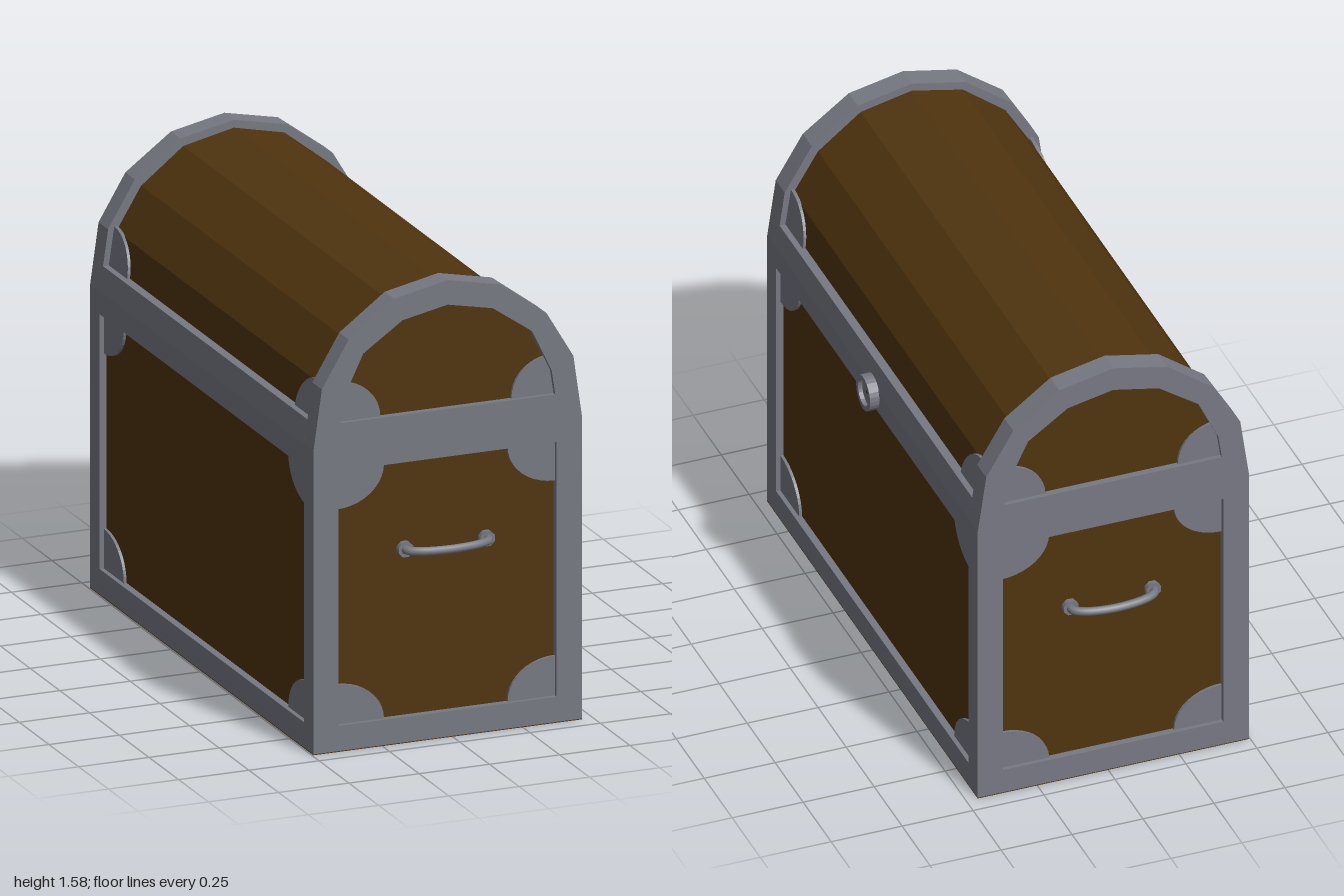
import * as THREE from 'three';

const metal = new THREE.MeshStandardMaterial({ color: 0x777983 });
metal.name = 'grey metal';
const wood = new THREE.MeshStandardMaterial({ color: 0x50340e });
wood.name = 'brown wood';
const dark = new THREE.MeshStandardMaterial({ color: 0x26262b });
dark.name = 'keyhole dark';

const HW = 0.4775, HL = 0.94, RAIL = 0.08, RECESS = 0.025, SEAM = 1.05;

// Half profiles of the arched lid, from the side up to the crown
const OUTER = [[HW, SEAM], [0.4475, 1.26], [0.352, 1.42], [0.19, 1.54], [0, 1.58]];
const BARREL = [[0.4475, SEAM], [0.418, 1.25], [0.33, 1.395], [0.18, 1.513], [0, 1.553]];
const OPENING = [[0.383, 1.135], [0.37, 1.22], [0.3, 1.365], [0.16, 1.462], [0, 1.495]];

const toPoints = (list) => list.map(([x, y]) => new THREE.Vector2(x, y));
const mirrored = (half) =>
  toPoints([...half, ...half.slice(0, -1).reverse().map(([x, y]) => [-x, y])]);
const rect = (w, y0, y1) => toPoints([[w, y0], [w, y1], [-w, y1], [-w, y0]]);

function add(parent, name, geometry, material) {
  const mesh = new THREE.Mesh(geometry, material);
  mesh.name = name;
  parent.add(mesh);
  return mesh;
}

// Outline extruded along z between z0 and z1
function slab(points, z0, z1, hole) {
  const shape = new THREE.Shape(points);
  if (hole) shape.holes.push(new THREE.Path(hole));
  const g = new THREE.ExtrudeGeometry(shape, { depth: z1 - z0, bevelEnabled: false });
  return g.translate(0, 0, z0);
}

// Quarter-round corner plate spreading from (x, y) in directions sx, sy
function cornerPlate(x, y, sx, sy, a, b, z) {
  const pts = [new THREE.Vector2(x, y)];
  for (let i = 0; i <= 10; i++) {
    const t = (i / 10) * Math.PI / 2;
    pts.push(new THREE.Vector2(x + sx * a * Math.cos(t), y + sy * b * Math.sin(t)));
  }
  return slab(pts, z - 0.002, z + 0.01);
}

function addBodyCorners(parent, halfWidth, z) {
  for (const s of [-1, 1]) {
    add(parent, 'lowerCorner', cornerPlate(s * halfWidth, 0.09, -s, 1, 0.168, 0.137, z), metal);
    add(parent, 'upperCorner', cornerPlate(s * halfWidth, 0.97, -s, -1, 0.168, 0.137, z), metal);
  }
}

// End of the chest: frames, corner plates and carrying handle
function makeEnd() {
  const end = new THREE.Group();
  end.name = 'chestEnd';
  add(end, 'bodyEndFrame', slab(rect(HW, 0.003, SEAM), HL - RAIL, HL, rect(0.388, 0.09, 0.97)), metal);
  add(end, 'lidEndFrame', slab(mirrored(OUTER), HL - RAIL, HL, mirrored(OPENING)), metal);
  const z = HL - RECESS;
  addBodyCorners(end, 0.388, z);
  for (const s of [-1, 1]) {
    add(end, 'lidCorner', cornerPlate(s * 0.383, 1.135, -s, 1, 0.15, 0.135, z), metal);
    const mount = add(end, 'handleMount', new THREE.CylinderGeometry(0.028, 0.028, 0.02, 8), metal);
    mount.rotation.set(Math.PI / 2, Math.PI / 8, 0);
    mount.position.set(s * 0.145, 0.665, z + 0.008);
  }
  const path = new THREE.CatmullRomCurve3([
    [-0.145, z], [-0.145, 0.943], [-0.11, 0.968], [0, 0.985], [0.11, 0.968], [0.145, 0.943], [0.145, z],
  ].map(([x, d]) => new THREE.Vector3(x, 0.665, d)));
  add(end, 'handle', new THREE.TubeGeometry(path, 32, 0.015, 8), metal);
  return end;
}

// Long side, built facing +z: corner plates that follow the body and the lid
function makeSideCorners() {
  const side = new THREE.Group();
  side.name = 'sideCorners';
  addBodyCorners(side, HL - RAIL, HW - RECESS);
  for (const s of [-1, 1]) {
    const g = cornerPlate(s * (HL - RAIL), 1.13, -s, 1, 0.155, 0.137, BARREL[0][0]);
    const p = g.attributes.position;
    for (let i = 0; i < p.count; i++) p.setZ(i, p.getZ(i) - (p.getY(i) - SEAM) * 0.1475);
    g.computeVertexNormals();
    add(side, 'lidSideCorner', g, metal);
  }
  return side;
}

function makeLock() {
  const lock = new THREE.Group();
  lock.name = 'lock';
  const rim = [[0.045, 0], [0.0625, 0], [0.0625, 0.035], [0.045, 0.035], [0.045, 0]];
  const ring = add(lock, 'lockRim', new THREE.LatheGeometry(toPoints(rim), 24).toNonIndexed(), metal);
  ring.geometry.computeVertexNormals();
  const face = add(lock, 'lockFace', new THREE.CylinderGeometry(0.046, 0.046, 0.02, 24), metal);
  face.position.y = 0.01;
  const hole = add(lock, 'keyhole', new THREE.CylinderGeometry(0.006, 0.006, 0.002, 10), dark);
  hole.position.y = 0.021;
  const slot = add(lock, 'keyholeSlot', new THREE.BoxGeometry(0.012, 0.002, 0.004), dark);
  slot.position.set(-0.007, 0.021, 0);
  lock.rotation.z = -Math.PI / 2;
  lock.position.set(HW - 0.022 + 0.02, 1.022, 0);
  return lock;
}

export function createModel() {
  const chest = new THREE.Group();
  chest.name = 'treasureChest';

  // Wooden body, barrel lid and floor
  const inner = HL - RECESS;
  add(chest, 'woodBody', slab(rect(HW - RECESS, 0.002, SEAM), -inner, inner), wood);
  add(chest, 'woodLid', slab(mirrored(BARREL), -inner, inner), wood);
  const floor = add(chest, 'floor', new THREE.BoxGeometry(HW * 2, 0.003, HL * 2), wood);
  floor.position.y = 0.0015;

  // Metal rails along both long sides
  const railEnd = HL - RAIL;
  const inX = HW - 0.06;
  for (const s of [-1, 1]) {
    const strip = (list) => slab(toPoints(list.map(([x, y]) => [s * x, y])), -railEnd, railEnd);
    add(chest, 'bottomRail', strip([[inX, 0.003], [HW, 0.003], [HW, 0.09], [inX, 0.09]]), metal);
    add(chest, 'bodyTopRail', strip([[inX, 0.97], [HW, 0.97], [HW, SEAM], [inX, SEAM]]), metal);
    add(chest, 'lidRail', strip([[inX, SEAM], [HW, SEAM], [HW - 0.012, 1.135], [inX, 1.135]]), metal);
  }

  // Ends and side corner plates
  for (const turn of [0, Math.PI]) {
    const end = makeEnd();
    end.rotation.y = turn;
    const corners = makeSideCorners();
    corners.rotation.y = turn + Math.PI / 2;
    chest.add(end, corners);
  }

  chest.add(makeLock());
  chest.position.x = -0.0175;

  const model = new THREE.Group();
  model.name = 'model';
  model.add(chest);
  return model;
}
